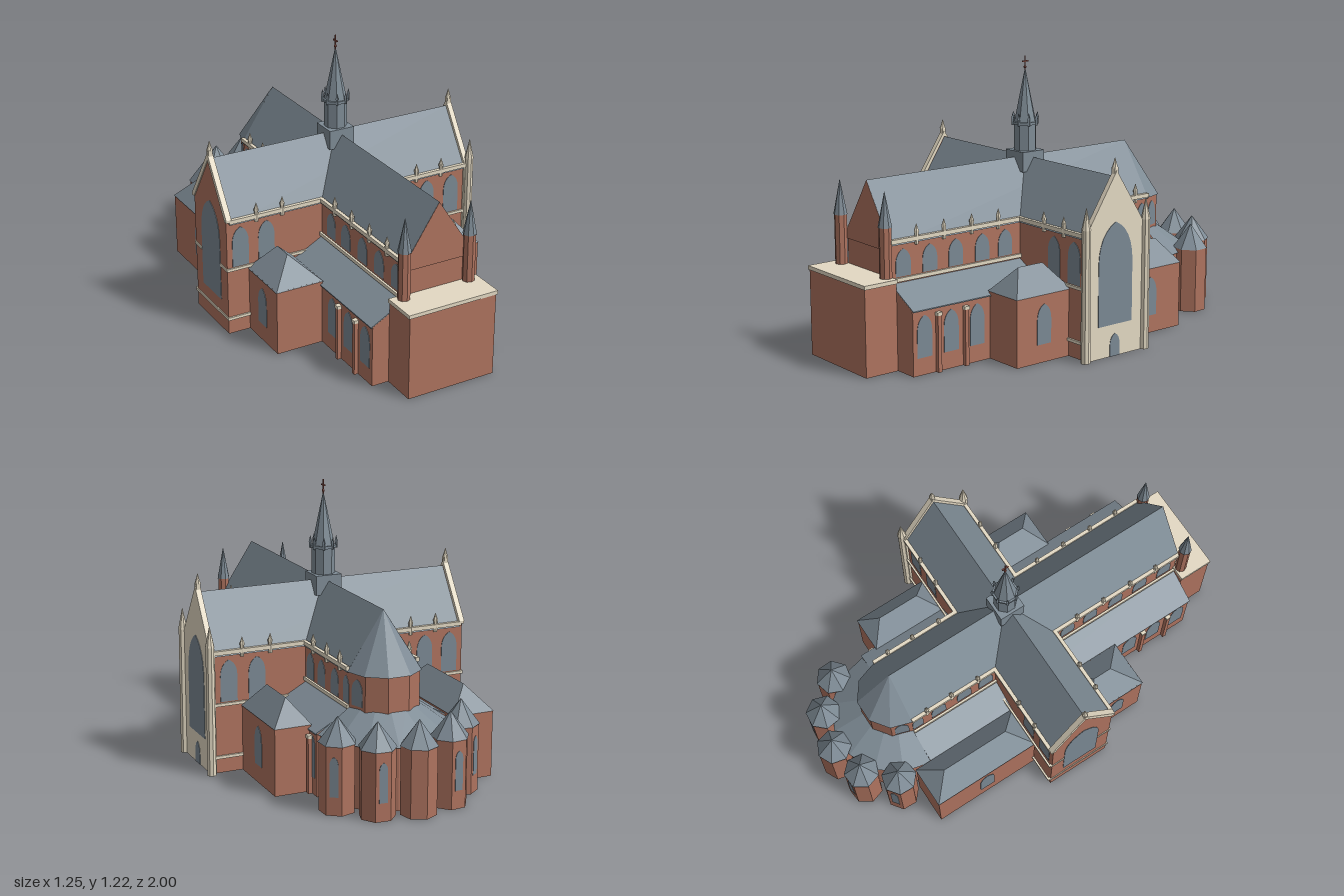
import * as THREE from 'three';

const mat = (name, color, extra = {}) => {
  const m = new THREE.MeshStandardMaterial({ color, flatShading: true, ...extra });
  m.name = name;
  return m;
};

export function createModel() {
  const root = new THREE.Group();
  root.name = 'church';
  const brick = mat('brick', 0xae735f, { side: THREE.DoubleSide });
  const slate = mat('slate', 0x7f8c96);
  const stone = mat('stone', 0xe3d9c3);
  const glass = mat('glass', 0x7b8994);
  const iron = mat('rustyIron', 0x8a4f45);
  const PI = Math.PI;
  const TZ = 0.007; // centre line of the transept

  const add = (name, geo, material, x = 0, y = 0, z = 0, ry = 0) => {
    const m = new THREE.Mesh(geo, material);
    m.name = name;
    m.position.set(x, y, z);
    m.rotation.y = ry;
    root.add(m);
    return m;
  };
  // Box given by its limits
  const box = (name, material, x0, x1, y0, y1, z0, z1) =>
    add(name, new THREE.BoxGeometry(x1 - x0, y1 - y0, z1 - z0), material, (x0 + x1) / 2, (y0 + y1) / 2, (z0 + z1) / 2);
  // Brick walls standing on the ground, hollow and open below
  const walls = (name, x0, x1, y1, z0, z1) => {
    const geo = box(name, brick, x0, x1, 0, y1, z0, z1).geometry;
    geo.setIndex([...geo.index.array].filter((_, i) => i < 18 || i >= 24));
    geo.clearGroups();
  };
  // Profile extruded along z, or along the transept when alongX is set
  const prism = (name, material, pts, a, b, alongX = false) => {
    const shape = new THREE.Shape(pts.map(p => new THREE.Vector2(...p)));
    const geo = new THREE.ExtrudeGeometry(shape, { depth: b - a, bevelEnabled: false });
    return alongX ? add(name, geo, material, a, 0, TZ, PI / 2) : add(name, geo, material, 0, 0, a);
  };
  // Upright tapered column with a given number of sides
  const column = (name, material, x, z, y0, y1, r0, r1, sides = 8, ry = 0) =>
    add(name, new THREE.CylinderGeometry(r1, r0, y1 - y0, sides, 1, material === brick), material, x, (y0 + y1) / 2, z, ry);
  // Pointed window plate facing the direction ry
  const lancet = (name, x, y0, z, w, h, ry) => {
    const s = new THREE.Shape(), r = w / 2, spring = h - Math.min(w * 0.9, h * 0.5);
    s.moveTo(-r, 0);
    s.lineTo(r, 0);
    s.lineTo(r, spring);
    s.quadraticCurveTo(r * 0.95, h - w * 0.22, 0, h);
    s.quadraticCurveTo(-r * 0.95, h - w * 0.22, -r, spring);
    const geo = new THREE.ExtrudeGeometry(s, { depth: 0.003, bevelEnabled: false, curveSegments: 6 });
    geo.translate(0, 0, -0.001);
    return add(name, geo, glass, x, y0, z, ry);
  };
  // Hipped roof with its ridge along z
  const hipRoof = (name, x0, x1, z0, z1, y0, y1, r0, r1) => {
    const xm = (x0 + x1) / 2;
    const A = [x0, y0, z0], B = [x1, y0, z0], C = [x1, y0, z1], D = [x0, y0, z1], E = [xm, y1, r0], F = [xm, y1, r1];
    const tris = [D, C, F, B, A, E, C, B, E, C, E, F, A, D, F, A, F, E];
    const geo = new THREE.BufferGeometry();
    geo.setAttribute('position', new THREE.Float32BufferAttribute(tris.flat(), 3));
    geo.computeVertexNormals();
    return add(name, geo, slate);
  };
  const pinnacle = (x, z) => {
    column('pinnacleShaft', stone, x, z, 0.515, 0.57, 0.009, 0.009, 6);
    column('pinnacleCap', stone, x, z, 0.565, 0.574, 0.011, 0.011, 6);
    column('pinnacleTip', stone, x, z, 0.574, 0.602, 0.01, 0.001, 6);
  };

  // Nave, chancel and transept
  const W = 0.155, EAVE = 0.535, RIDGE = 0.776;
  const roofProfile = [[-0.165, 0.525], [0.165, 0.525], [0, RIDGE]];
  walls('naveWalls', -W, W, EAVE, -0.589, 0.845);
  walls('transeptWalls', -0.62, 0.59, EAVE, TZ - W, TZ + W);
  prism('naveRoof', slate, roofProfile, -0.589, 0.849);
  prism('transeptRoof', slate, roofProfile, -0.605, 0.585, true);
  prism('naveGable', brick, [[-W, 0.5], [W, 0.5], [W, 0.538], [0, RIDGE - 0.001], [-W, 0.538]], 0.84, 0.85);

  for (const s of [-1, 1]) {
    // Stone cornices and string courses
    const gx = s * 0.162, gz = TZ + gx;
    box('naveCornice', stone, gx - 0.008, gx + 0.008, 0.532, 0.55, 0.16, 0.847);
    box('chancelCornice', stone, gx - 0.008, gx + 0.008, 0.532, 0.55, -0.589, -0.15);
    box('naveBand', stone, gx - 0.007, gx + 0.003, 0.368, 0.384, -0.589, 0.845);
    for (const [a, b] of [[-0.61, -0.155], [0.155, 0.59]]) {
      box('transeptCornice', stone, a, b, 0.532, 0.55, gz - 0.008, gz + 0.008);
      for (const y of [0.068, 0.304]) box('transeptBand', stone, a - (a < 0 ? 0.01 : 0), b, y, y + 0.013, gz - 0.008, gz + 0.001);
    }
    // Clerestory windows and pinnacles
    for (const z of [0.78, 0.645, 0.51, 0.37, 0.245, -0.2, -0.315, -0.45, -0.56])
      lancet('clerestoryWindow', s * W, 0.388, z, z < -0.5 ? 0.055 : 0.075, 0.117, s * PI / 2);
    for (const z of [0.716, 0.576, 0.43, 0.287, -0.244, -0.383, -0.512]) pinnacle(gx, z);
    for (const x of [-0.555, -0.43, 0.385, 0.515]) lancet('transeptWindow', x, 0.32, TZ + s * W, 0.078, 0.185, s > 0 ? 0 : PI);
    for (const x of [-0.48, -0.355, 0.325, 0.455]) pinnacle(x, gz);

    // Side aisles with lean-to roofs and brick ends
    walls('aisleWalls', Math.min(s * 0.15, s * 0.3), Math.max(s * 0.15, s * 0.3), 0.277, -0.589, 0.838);
    prism('aisleEnd', brick, [[s * 0.3, 0.27], [s * 0.3, 0.28], [s * 0.15, 0.36], [s * 0.15, 0.27]], -0.588, 0.8405);
    prism('aisleRoof', slate, [[s * 0.308, 0.274], [s * 0.308, 0.279], [s * 0.15, 0.365], [s * 0.15, 0.359]], -0.589, 0.84);
    for (const z of [0.78, 0.645, 0.51, -0.545]) lancet('aisleWindow', s * 0.3, 0.075, z, z < 0 ? 0.045 : 0.075, 0.18, s * PI / 2);
    for (const z of [0.715, 0.575, -0.53]) {
      walls('aisleButtress', s * 0.308 - 0.01, s * 0.308 + 0.01, 0.245, z - 0.009, z + 0.009);
      box('buttressCap', stone, s * 0.308 - 0.012, s * 0.308 + 0.012, 0.243, 0.257, z - 0.012, z + 0.012);
    }
  }

  // Corner chapels: x limits, z limits, ridge limits
  for (const [x0, x1, z0, z1, r0, r1] of [
    [-0.52, -0.295, 0.15, 0.422, 0.22, 0.31],
    [0.29, 0.485, 0.15, 0.445, 0.23, 0.36],
    [0.29, 0.46, -0.515, -0.15, -0.435, -0.235],
    [-0.49, -0.295, -0.67, -0.15, -0.575, -0.25],
  ]) {
    walls('chapelWalls', x0 + 0.003, x1 - 0.003, 0.297, z0 + 0.003, z1 - 0.003);
    hipRoof('chapelRoof', x0, x1, z0, z1, 0.294, 0.402, r0, r1);
    const s = Math.sign(x0);
    lancet('chapelWindow', s > 0 ? x1 - 0.003 : x0 + 0.003, 0.08, (z0 + z1) / 2, 0.075, 0.175, s * PI / 2);
  }

  // Front porch block and its two turrets
  walls('porchBlock', -0.222, 0.192, 0.376, 0.84, 0.996);
  box('porchSlab', stone, -0.228, 0.198, 0.374, 0.391, 0.838, 1.0);
  for (const [x, z] of [[-0.173, 0.868], [0.145, 0.86]]) {
    column('turret', brick, x, z, 0.38, 0.606, 0.027, 0.027);
    column('turretSpire', slate, x, z, 0.604, 0.752, 0.03, 0.001);
  }

  // Stone facade on the left transept end
  prism('facade', stone, [[-0.165, 0], [0.165, 0], [0.165, 0.55], [0, 0.802], [-0.165, 0.55]], 0.58, 0.604, true);
  lancet('facadeWindow', 0.604, 0.14, 0.01, 0.19, 0.445, PI / 2);
  lancet('facadeDoor', 0.604, 0.0, 0.01, 0.055, 0.1, PI / 2);
  for (const z of [TZ - 0.167, TZ + 0.167]) {
    column('facadeButtress', stone, 0.604, z, 0, 0.575, 0.021, 0.019);
    column('facadeButtressTip', stone, 0.604, z, 0.573, 0.665, 0.021, 0.001);
  }
  // Brick gable with stone coping on the right transept end
  prism('transeptGable', brick, [[-W, 0.5], [W, 0.5], [W, 0.54], [0, 0.78], [-W, 0.54]], -0.62, -0.6, true);
  prism('gableCoping', stone, [[-0.168, 0.54], [-0.15, 0.54], [0, 0.768], [0.15, 0.54], [0.168, 0.54], [0.168, 0.552], [0, 0.802], [-0.168, 0.552]], -0.625, -0.6, true);
  box('gableLowerBand', stone, -0.624, -0.61, 0.068, 0.081, TZ - 0.162, TZ + 0.162);
  for (const s of [-1, 1]) {
    const [a, b] = [TZ + s * 0.092, TZ + s * 0.162].sort((p, q) => p - q);
    box('gableUpperBand', stone, -0.624, -0.61, 0.304, 0.317, a, b);
  }
  lancet('gableWindow', -0.62, 0.14, TZ, 0.18, 0.44, -PI / 2);
  for (const x of [-0.613, 0.591]) {
    box('gableFinialShaft', stone, x - 0.01, x + 0.01, 0.775, 0.815, TZ - 0.01, TZ + 0.01);
    column('gableFinial', stone, x, TZ, 0.81, 0.855, 0.014, 0.001, 6);
  }

  // Apse and ambulatory, half round towards the back
  const half = (name, material, r0, r1, y0, y1, z, n) =>
    add(name, new THREE.CylinderGeometry(r1, r0, y1 - y0, n, 1, material === brick, PI / 2, PI), material, 0, (y0 + y1) / 2, z);
  half('apseWalls', brick, 0.155, 0.155, 0, EAVE, -0.589, 5);
  half('apseRoof', slate, 0.163, 0.0005, 0.527, RIDGE, -0.589, 5);
  half('ambulatoryWalls', brick, 0.285, 0.285, 0, 0.278, -0.589, 7);
  half('ambulatoryRoof', slate, 0.298, 0.15, 0.274, 0.378, -0.589, 7);
  for (const s of [-1, 1]) {
    const a = s * 0.6 * PI, d = 0.155 * Math.cos(PI / 10);
    lancet('apseWindow', Math.sin(a) * d, 0.39, -0.589 + Math.cos(a) * d, 0.065, 0.115, a);
  }
  // Ring of small seven-sided chapels
  for (const [x, z] of [[-0.283, -0.75], [-0.165, -0.876], [0, -0.92], [0.165, -0.876], [0.283, -0.75]]) {
    const out = Math.atan2(x, z + 0.6);
    column('radiatingChapel', brick, x, z, 0, 0.297, 0.077, 0.077, 7, out);
    column('radiatingChapelRoof', slate, x, z, 0.294, 0.402, 0.081, 0.0005, 7, out);
    if (x !== 0) {
      const a = out + Math.sign(x) * PI / 7, d = 0.077 * Math.cos(PI / 7);
      lancet('radiatingChapelWindow', x + Math.sin(a) * d, 0.08, z + Math.cos(a) * d, 0.036, 0.17, a);
    }
  }

  // Crossing spire with its cross
  box('spireBase', slate, -0.06, 0.06, 0.715, 0.803, TZ - 0.06, TZ + 0.06);
  column('spireShaft', slate, 0, TZ, 0.8, 0.925, 0.051, 0.051, 8, PI / 8);
  column('spireRing', slate, 0, TZ, 0.918, 0.93, 0.058, 0.058, 8, PI / 8);
  column('spireCone', slate, 0, TZ, 0.928, 1.16, 0.05, 0.002, 8, PI / 8);
  for (let i = 0; i < 8; i++) {
    const a = PI / 8 + i * PI / 4, x = Math.sin(a) * 0.057, z = TZ + Math.cos(a) * 0.057;
    column('spirePinnacle', slate, x, z, 0.915, 0.943, 0.006, 0.006, 4);
    column('spirePinnacleTip', slate, x, z, 0.943, 0.97, 0.008, 0.0005, 4);
  }
  column('crossPost', iron, 0, TZ, 1.15, 1.22, 0.003, 0.003, 6);
  add('crossBall', new THREE.SphereGeometry(0.007, 8, 6), iron, 0, 1.17, TZ);
  box('crossBar', iron, -0.003, 0.003, 1.192, 1.198, TZ - 0.016, TZ + 0.016);

  return root;
}
